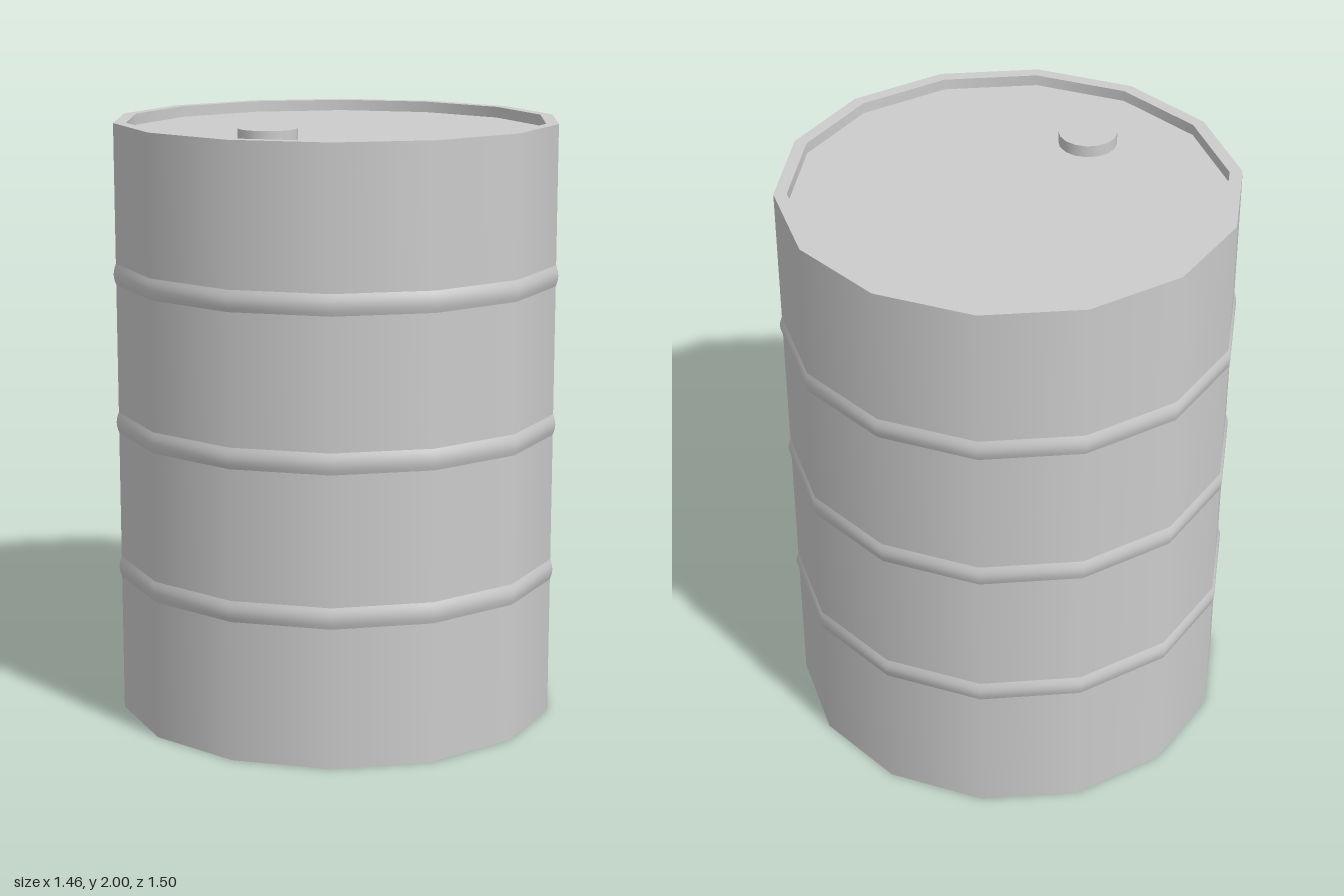
import * as THREE from 'three';

const SIDES = 14;
const R = 0.742, RIM_IN = 0.70, RIM_Y = 1.997, LID_Y = 1.96;

export function createModel() {
  const drum = new THREE.Group();
  drum.name = 'drum';
  const material = new THREE.MeshStandardMaterial({ color: 0xcccccc });

  // One smooth strip of the drum; separate strips keep the edges between them sharp
  const band = (name, profile) => {
    const points = profile.map(([r, y]) => new THREE.Vector2(r, y));
    const mesh = new THREE.Mesh(new THREE.LatheGeometry(points, SIDES), material);
    mesh.name = name;
    drum.add(mesh);
  };

  band('base', [[0, 0], [R, 0]]);

  // Wall sections with rounded hoops pressed between them
  const half = 0.035, bulge = 0.008;
  let y = 0;
  for (const hoopY of [0.5, 1.0, 1.5]) {
    band('wall', [[R, y], [R, hoopY - half]]);
    const hoop = [];
    for (let i = 0; i <= 6; i++) {
      const t = i / 3 - 1;
      hoop.push([R + bulge * Math.cos(t * Math.PI / 2), hoopY + half * t]);
    }
    band('hoop', hoop);
    y = hoopY + half;
  }
  band('wall', [[R, y], [R, RIM_Y]]);

  // Raised rim around the sunken lid
  band('rimTop', [[R, RIM_Y], [RIM_IN, RIM_Y]]);
  band('rimInside', [[RIM_IN, RIM_Y], [RIM_IN, LID_Y]]);
  band('lid', [[RIM_IN, LID_Y], [0, LID_Y]]);

  // Filler cap near the edge of the lid
  const capHeight = 2 - LID_Y;
  const cap = new THREE.Mesh(new THREE.CylinderGeometry(0.096, 0.096, capHeight, 16), material);
  cap.name = 'fillerCap';
  cap.position.set(-0.34, LID_Y + capHeight / 2, 0.22);
  drum.add(cap);

  return drum;
}
